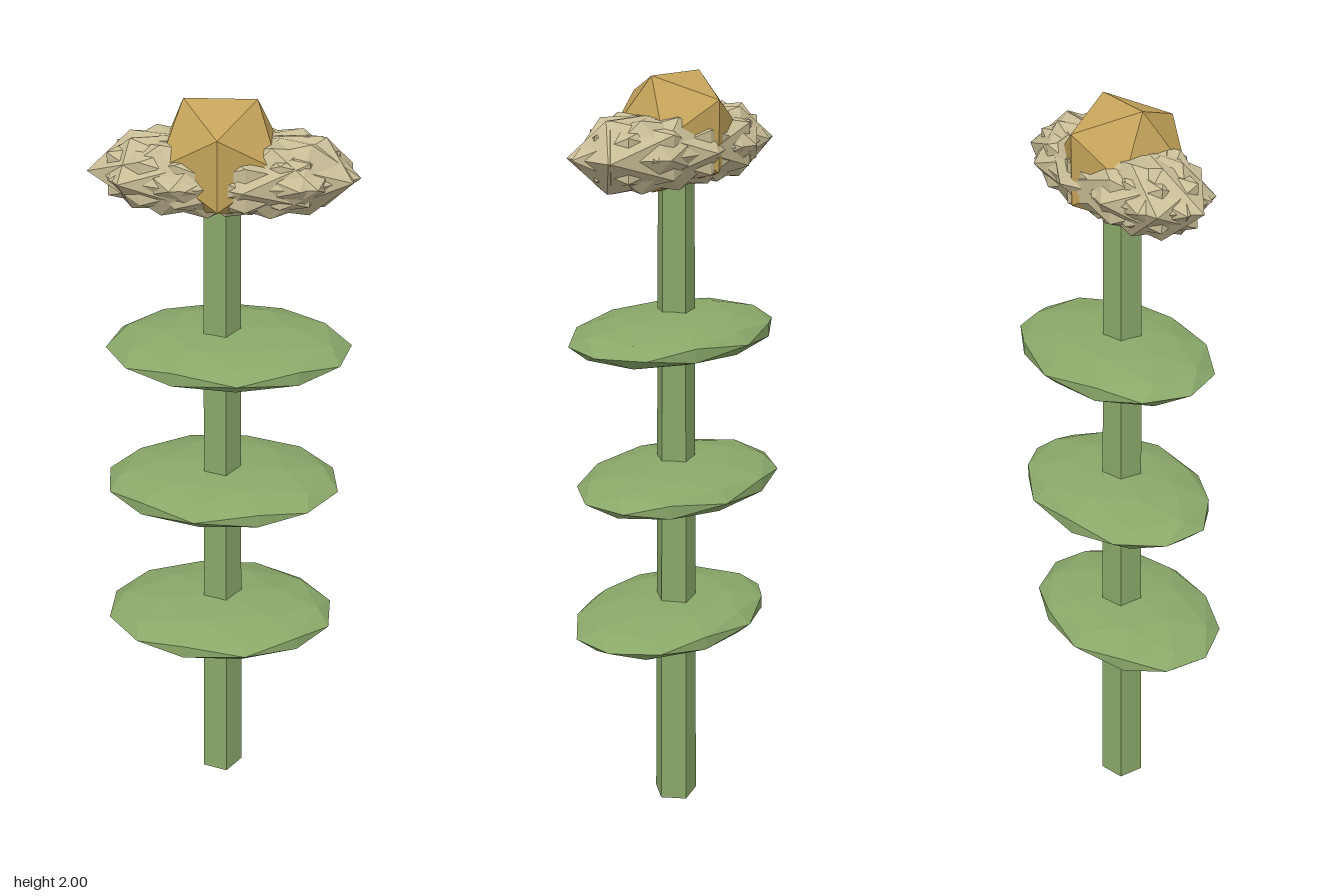
import * as THREE from 'three';

const material = (color) => new THREE.MeshStandardMaterial({ color, flatShading: true });
const green = material(0x8aa869);
const cream = material(0xc8bd96);
const gold = material(0xc4a35a);

function add(parent, name, geometry, mat, x, y, z) {
  const mesh = new THREE.Mesh(geometry, mat);
  mesh.name = name;
  mesh.position.set(x, y, z);
  parent.add(mesh);
  return mesh;
}

// Faceted ball, turned about y and then squashed into an ellipsoid
function blob(detail, spin, sx, sy, sz) {
  return new THREE.IcosahedronGeometry(1, detail).rotateY(spin).scale(sx, sy, sz);
}

export function createModel() {
  const model = new THREE.Group();
  model.name = 'flower';
  const axis = -0.012;

  // Tapered five-sided stem with one edge towards +x
  const stem = new THREE.CylinderGeometry(0.048, 0.06, 1.8, 5).rotateY(Math.PI / 2);
  add(model, 'stem', stem, green, axis, 0.9, 0);

  // Three flat leaf discs, each turned differently and slightly off the axis
  const leaves = [
    [-0.012, 0.555, 0.017, 0.25],
    [-0.008, 0.955, -0.015, -0.2],
    [0.008, 1.355, -0.01, 0.1],
  ];
  for (const [x, y, z, spin] of leaves) {
    add(model, 'leaf', blob(1, spin, 0.312, 0.058, 0.223), green, x, y, z);
  }

  // Spiky oval head of overlapping petals
  const petals = new THREE.Group();
  petals.name = 'petals';
  model.add(petals);
  const count = 18;
  for (let i = 0; i < count; i++) {
    const a = (i / count) * Math.PI * 2;
    add(petals, 'petal', blob(0, i * 2.4, 0.2, 0.102, 0.13), cream,
      0.132 * Math.cos(a), 1.824, -0.004 + 0.025 * Math.sin(a));
  }

  // Faceted flower centre
  add(model, 'flowerCentre', new THREE.IcosahedronGeometry(0.165, 0), gold, axis, 1.86, 0);
  return model;
}
